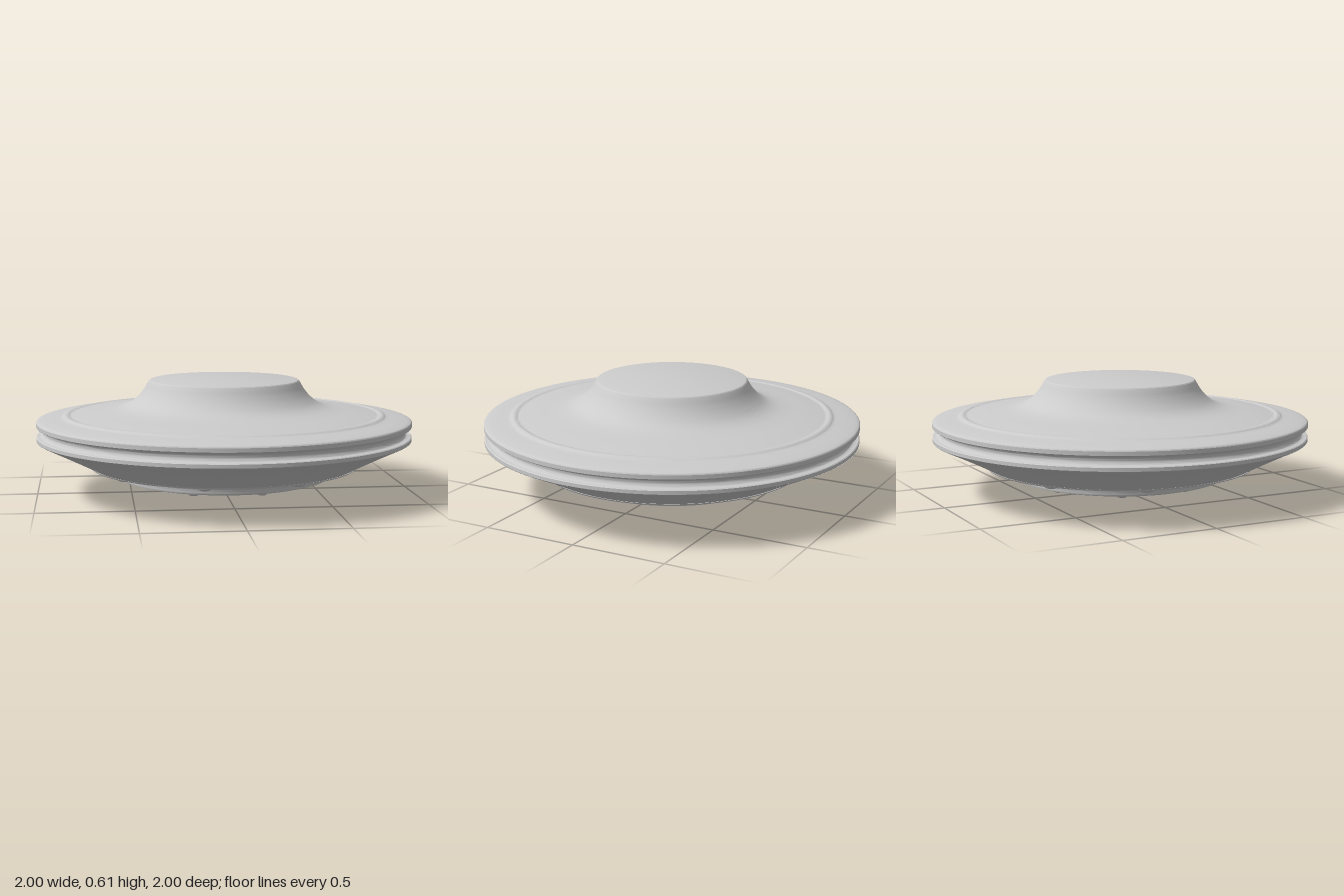
import * as THREE from 'three';
import { toCreasedNormals } from 'three/addons/utils/BufferGeometryUtils.js';

const SEGMENTS = 144;
const material = new THREE.MeshStandardMaterial({ color: 0xcccccc, side: THREE.DoubleSide });
const vectors = (pairs) => pairs.map(([r, y]) => new THREE.Vector2(r, y));
const smooth = (pairs, n) => new THREE.SplineCurve(vectors(pairs)).getPoints(n);

export function createModel() {
  const saucer = new THREE.Group();
  saucer.name = 'saucer';

  const add = (name, geometry, parent = saucer) => {
    const mesh = new THREE.Mesh(geometry, material);
    mesh.name = name;
    parent.add(mesh);
    return mesh;
  };
  // Profiles run from the bottom of a part to its top
  const turn = (name, points) =>
    add(name, toCreasedNormals(new THREE.LatheGeometry(points, SEGMENTS), 0.5));

  // Stepped underside
  turn('bottomHub', vectors([[0, 0.002], [0.012, 0], [0.105, 0], [0.11, 0.004], [0.11, 0.016]]));
  turn('hubPlate', vectors([[0.1, 0.015], [0.19, 0.015], [0.197, 0.02], [0.197, 0.031]]));
  turn('innerDish', vectors([[0.19, 0.03], [0.24, 0.034], [0.32, 0.044], [0.385, 0.054], [0.39, 0.06]]));
  turn('middleDish', vectors([[0.38, 0.06], [0.46, 0.066], [0.525, 0.074], [0.535, 0.085]]));
  turn('stepCollar', [
    ...vectors([[0.525, 0.084], [0.562, 0.084]]),
    ...smooth([[0.564, 0.088], [0.567, 0.11], [0.58, 0.127], [0.605, 0.137]], 10),
  ]);
  turn('outerDish', vectors([[0.6, 0.136], [0.66, 0.141], [0.715, 0.142], [0.72, 0.149]]));

  // Lower hull with shallow radial flutes fading out at both edges
  const hull = new THREE.LatheGeometry(
    smooth([[0.71, 0.147], [0.8, 0.193], [0.9, 0.243], [0.97, 0.277], [1, 0.292]], 20), 192);
  const pos = hull.attributes.position;
  for (let i = 0; i < pos.count; i++) {
    const x = pos.getX(i), z = pos.getZ(i), r = Math.hypot(x, z);
    const t = THREE.MathUtils.clamp((r - 0.72) / 0.26, 0, 1);
    const wave = 0.5 + 0.5 * Math.cos(24 * Math.atan2(x, z));
    pos.setY(i, pos.getY(i) + 0.013 * Math.sin(Math.PI * t ** 1.5) * wave);
  }
  add('flutedHull', toCreasedNormals(hull, 0.5));

  // Rim with a rounded channel
  turn('rim', [
    ...vectors([[0.995, 0.29], [1, 0.294], [1, 0.312], [0.995, 0.316]]),
    ...smooth([[0.982, 0.316], [0.968, 0.322], [0.961, 0.34], [0.968, 0.358], [0.982, 0.364]], 14),
    ...vectors([[0.995, 0.364], [1, 0.368], [1, 0.388]]),
  ]);

  // Upper hull, raised ring and flared tower
  turn('upperHull', smooth([
    [1, 0.388], [0.99, 0.397], [0.94, 0.406], [0.88, 0.413], [0.862, 0.416], [0.85, 0.423],
    [0.835, 0.425], [0.82, 0.421], [0.8, 0.424], [0.72, 0.436], [0.62, 0.449], [0.55, 0.463],
    [0.5, 0.484], [0.46, 0.516], [0.43, 0.552], [0.41, 0.585], [0.402, 0.598],
  ], 90));
  turn('towerTop', vectors([[0.402, 0.598], [0.397, 0.603], [0.385, 0.606], [0, 0.606]]));

  // Two rings of eight lamps set into the underside
  const lampRing = (name, radius, y, size, startDegrees) => {
    const ring = new THREE.Group();
    ring.name = name;
    saucer.add(ring);
    for (let i = 0; i < 8; i++) {
      const a = THREE.MathUtils.degToRad(startDegrees + 45 * i);
      const lamp = add('lamp', new THREE.SphereGeometry(1, 20, 14), ring);
      lamp.scale.set(size, size * 0.5, size);
      lamp.position.set(radius * Math.sin(a), y, radius * Math.cos(a));
    }
  };
  lampRing('outerLamps', 0.63, 0.136, 0.042, -15);
  lampRing('innerLamps', 0.455, 0.067, 0.03, -26);

  return saucer;
}
